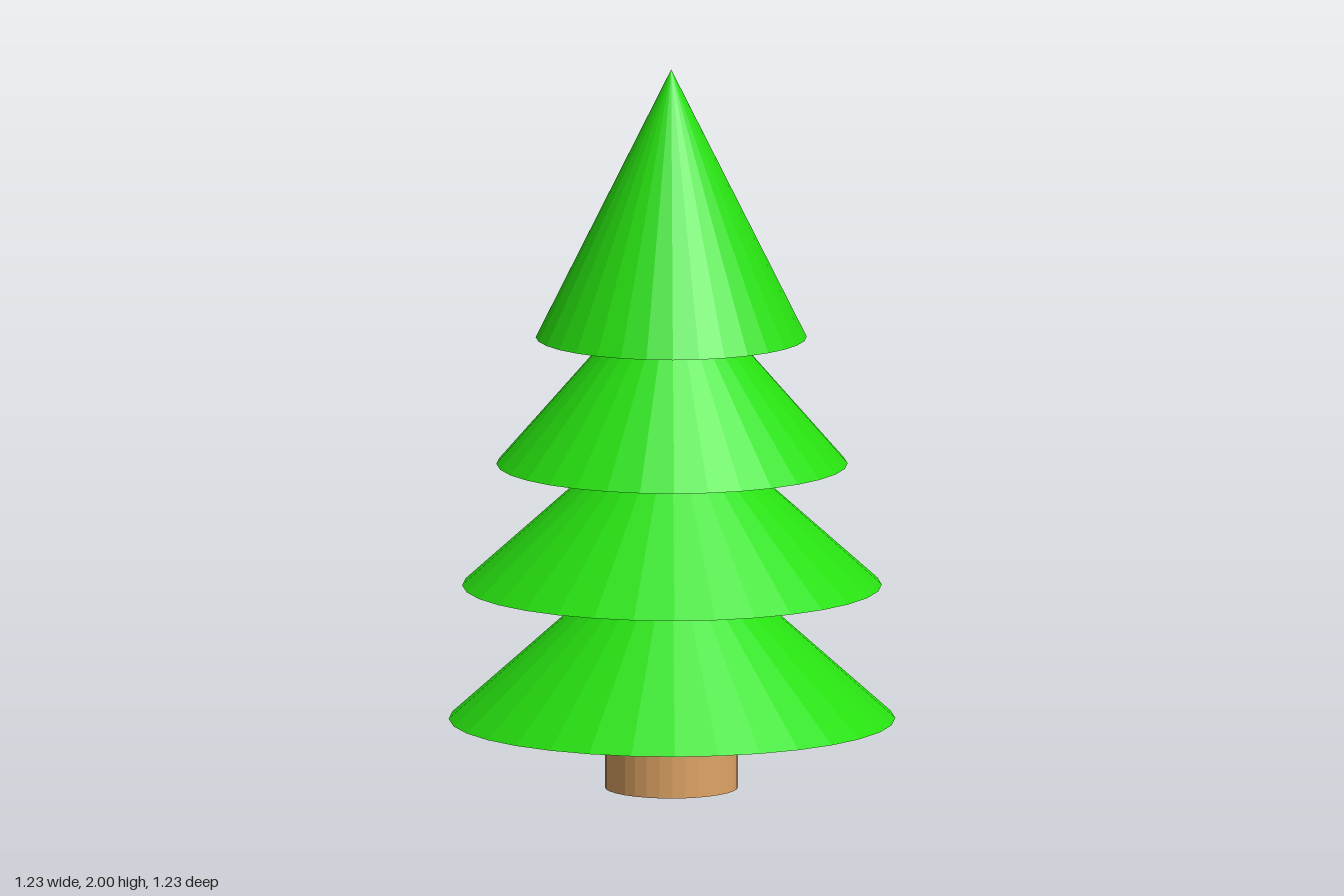
import * as THREE from 'three';

const SIDES = 32;

export function createModel() {
  const tree = new THREE.Group();
  tree.name = 'tree';
  const leaf = new THREE.MeshStandardMaterial({ color: 0x27e010, flatShading: true });
  const bark = new THREE.MeshStandardMaterial({ color: 0xdfa464, flatShading: true });

  const add = (name, geometry, material, bottom, height, z) => {
    const mesh = new THREE.Mesh(geometry, material);
    mesh.name = name;
    mesh.position.set(0, bottom + height / 2, z);
    tree.add(mesh);
  };

  // Trunk runs up through the tiers and ends inside the top cone
  add('trunk', new THREE.CylinderGeometry(0.183, 0.183, 1.32, SIDES), bark, 0, 1.32, 0.008);

  // Foliage cones, lowest first: base height, apex height, radius, z offset
  const tiers = [
    ['lowestFoliage', 0.19, 0.74, 0.613, 0],
    ['lowerFoliage', 0.562, 1.08, 0.576, 0],
    ['upperFoliage', 0.90, 1.453, 0.482, 0],
    ['topFoliage', 1.255, 2.0, 0.372, 0.012],
  ];
  for (const [name, base, apex, radius, z] of tiers) {
    const height = apex - base;
    add(name, new THREE.ConeGeometry(radius, height, SIDES), leaf, base, height, z);
  }
  return tree;
}
